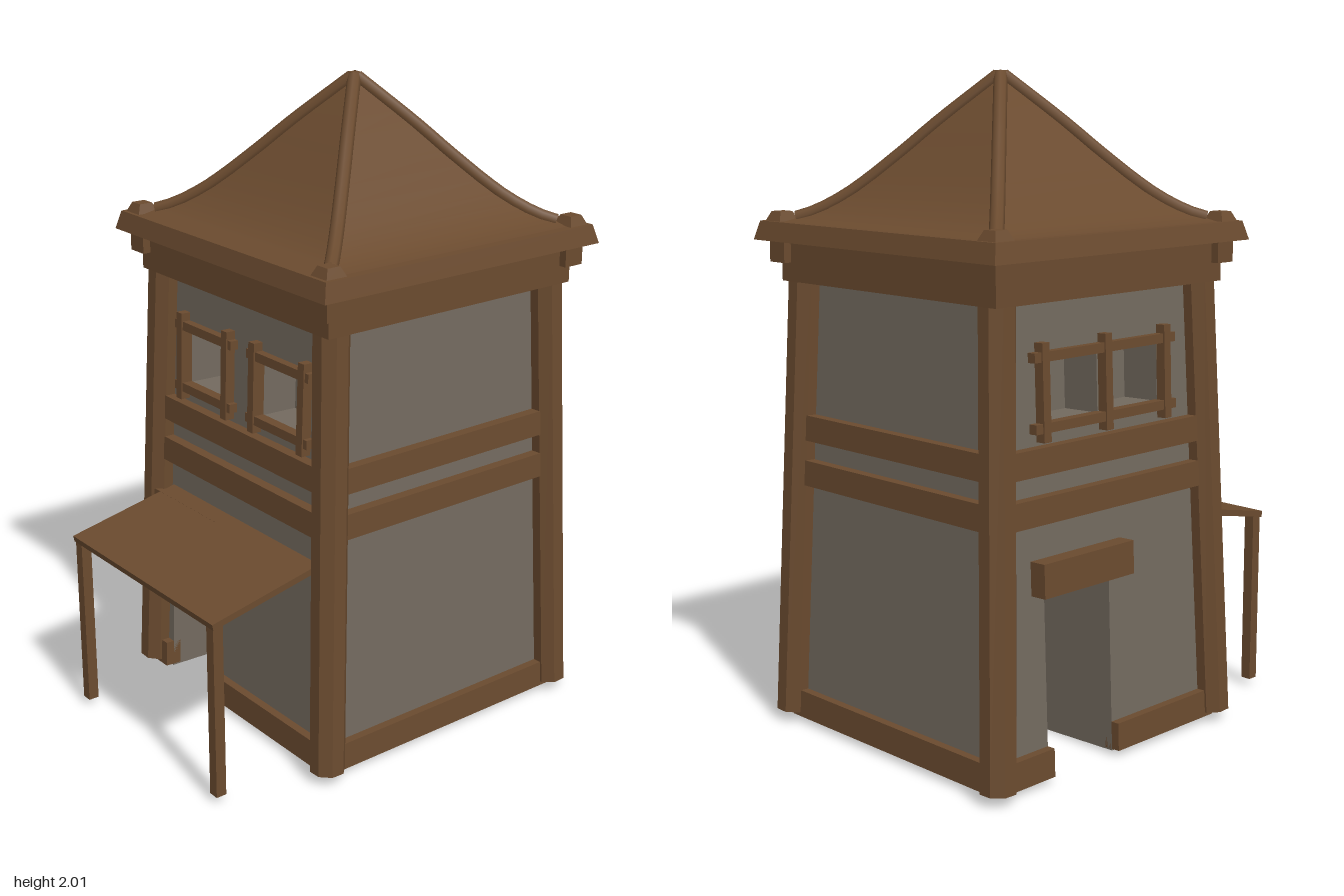
import * as THREE from 'three';

const wood = new THREE.MeshStandardMaterial({ color: 0x6b4b2f, side: THREE.DoubleSide });
wood.name = 'brown wood';
const plaster = new THREE.MeshStandardMaterial({ color: 0x736a5f, side: THREE.DoubleSide });
plaster.name = 'grey plaster';

const WALL_H = 1.4, WALL_BOTTOM = 0.455, WALL_TOP = 0.405;
const SLOPE = (WALL_BOTTOM - WALL_TOP) / WALL_H;

function add(parent, name, geometry, material, x = 0, y = 0, z = 0) {
  const mesh = new THREE.Mesh(geometry, material);
  mesh.name = name;
  mesh.position.set(x, y, z);
  parent.add(mesh);
  return mesh;
}

const box = (parent, name, w, h, d, x, y, z, mat = wood) =>
  add(parent, name, new THREE.BoxGeometry(w, h, d), mat, x, y, z);

function flat(geometry) {
  const g = geometry.toNonIndexed();
  g.computeVertexNormals();
  return g;
}

// Square block with sloping sides, given by half widths
function frustum(top, bottom, h) {
  const g = new THREE.CylinderGeometry(top * Math.SQRT2, bottom * Math.SQRT2, h, 4);
  return flat(g.rotateY(Math.PI / 4));
}

// Box lacking its front, and its bottom for doorways
function recess(parent, name, x, y, w, h, depth, openBottom) {
  const g = new THREE.BoxGeometry(w, h, depth);
  const old = Array.from(g.index.array);
  g.setIndex(old.filter((_, i) => {
    const face = Math.floor(i / 6);
    return face !== 4 && !(openBottom && face === 3);
  }));
  g.clearGroups();
  add(parent, name, g, plaster, x, y, -depth / 2);
}

// One leaning side of the tower; +z is outward
function towerSide(name, angle, door, windows, rails) {
  const turn = new THREE.Group();
  turn.name = name;
  turn.rotation.y = angle;
  const side = new THREE.Group();
  side.position.z = WALL_BOTTOM;
  side.rotation.x = -Math.atan(SLOPE);
  turn.add(side);

  // Wall outline with a doorway notch and window holes
  const dw = 0.135, dh = 0.56;
  const pts = [[-WALL_BOTTOM, 0]];
  if (door !== null) pts.push([door - dw, 0], [door - dw, dh], [door + dw, dh], [door + dw, 0]);
  pts.push([WALL_BOTTOM, 0], [WALL_TOP, WALL_H], [-WALL_TOP, WALL_H]);
  const shape = new THREE.Shape(pts.map(p => new THREE.Vector2(...p)));
  const wy = 1.12, ww = 0.22, wh = 0.18;
  for (const x of windows) {
    shape.holes.push(new THREE.Path([[-1, -1], [-1, 1], [1, 1], [1, -1]].map(
      ([a, b]) => new THREE.Vector2(x + a * ww / 2, wy + b * wh / 2))));
    recess(side, 'windowRecess', x, wy, ww, wh, 0.13, false);
  }
  add(side, 'wall', new THREE.ShapeGeometry(shape), plaster);

  // Base beam, broken at the doorway
  const spans = door === null ? [[-0.45, 0.45]] : [[-0.45, door - dw], [door + dw, 0.45]];
  for (const [a, b] of spans) box(side, 'baseBeam', b - a, 0.085, 0.055, (a + b) / 2, 0.0475, 0);
  if (door !== null) {
    recess(side, 'doorway', door, dh / 2, dw * 2, dh, 0.33, true);
    box(side, 'doorLintel', 0.37, 0.1, 0.07, door, 0.595, 0.02);
  }

  // Pair of middle beams
  for (const y of [0.79, 0.93]) box(side, 'middleBeam', 0.84, 0.078, 0.06, 0, y, 0.005);

  // Window frames with crossing bars
  for (const [a, b, uprights] of rails) {
    for (const y of [1.02, 1.22]) box(side, 'windowRail', b - a + 0.06, 0.028, 0.035, (a + b) / 2, y, 0.01);
    for (const x of uprights) box(side, 'windowUpright', 0.028, 0.28, 0.04, x, wy, 0.012);
  }
  return turn;
}

function buildRoof() {
  const roof = new THREE.Group();
  roof.name = 'roof';
  add(roof, 'eaves', frustum(0.512, 0.527, 0.057), wood, 0, 1.528, 0);

  // Concave slopes: half width against height
  const curve = new THREE.CatmullRomCurve3([
    [0.505, 1.553], [0.42, 1.57], [0.33, 1.63], [0.22, 1.745], [0.13, 1.85], [0.005, 1.985],
  ].map(([r, y]) => new THREE.Vector3(r, y, r)));
  const rows = 14;
  for (let k = 0; k < 4; k++) {
    const g = new THREE.PlaneGeometry(2, 1, 1, rows);
    const p = g.attributes.position;
    for (let i = 0; i < p.count; i++) {
      const c = curve.getPoint(p.getY(i) + 0.5);
      p.setXYZ(i, p.getX(i) * c.x, c.y, c.z);
    }
    g.computeVertexNormals();
    add(roof, 'roofSlope', g, wood).rotation.y = k * Math.PI / 2;

    // Ridge pole and corner cap
    const ridge = new THREE.CatmullRomCurve3(
      curve.getPoints(12).filter(c => c.x < 0.45));
    add(roof, 'ridgePole', new THREE.TubeGeometry(ridge, 16, 0.021, 8), wood).rotation.y = k * Math.PI / 2;
    const sx = k % 2 ? 1 : -1, sz = k < 2 ? 1 : -1;
    add(roof, 'cornerCap', frustum(0.022, 0.037, 0.032), wood, sx * 0.465, 1.569, sz * 0.465);
  }
  add(roof, 'roofTip', frustum(0.015, 0.024, 0.024), wood, 0, 1.988, 0);
  return roof;
}

function buildAwning() {
  const awning = new THREE.Group();
  awning.name = 'awning';
  const slope = Math.atan2(0.066, 0.33);
  box(awning, 'awningRoof', 0.39, 0.02, 0.765, -0.482, 0.609, 0).rotation.z = slope;
  for (const z of [-0.36, 0.36]) box(awning, 'awningPost', 0.034, 0.565, 0.034, -0.652, 0.2925, z);
  return awning;
}

export function createModel() {
  const model = new THREE.Group();
  model.name = 'watchTower';
  const tower = new THREE.Group();
  tower.name = 'tower';
  tower.position.x = 0.14;
  model.add(tower);

  // Two plain sides, and two with a door and windows
  tower.add(
    towerSide('frontSide', 0, null, [], []),
    towerSide('leftSide', Math.PI / 2, null, [], []),
    towerSide('backSide', Math.PI, -0.12, [-0.13, 0.13], [[-0.265, 0.265, [-0.255, 0, 0.255]]]),
    towerSide('rightSide', -Math.PI / 2, -0.25, [-0.19, 0.19],
      [[-0.31, -0.07, [-0.31, -0.07]], [0.07, 0.31, [0.07, 0.31]]]),
  );

  // Leaning corner posts and the blocks above them
  const up = new THREE.Vector3(0, 1, 0);
  for (const sx of [-1, 1]) for (const sz of [-1, 1]) {
    const a = new THREE.Vector3(sx * 0.467, 0.02, sz * 0.467);
    const b = new THREE.Vector3(sx * 0.415, 1.42, sz * 0.415);
    const g = new THREE.CylinderGeometry(0.055, 0.055, a.distanceTo(b), 8);
    const post = add(tower, 'cornerPost', flat(g.rotateY(Math.PI / 8)), wood);
    post.position.copy(a).lerp(b, 0.5);
    post.quaternion.setFromUnitVectors(up, b.clone().sub(a).normalize());
    box(tower, 'cornerBlock', 0.07, 0.07, 0.07, sx * 0.458, 1.468, sz * 0.458);
  }
  box(tower, 'topBeam', 0.935, 0.125, 0.935, 0, 1.4385, 0);
  tower.add(buildRoof());
  model.add(buildAwning());
  return model;
}
